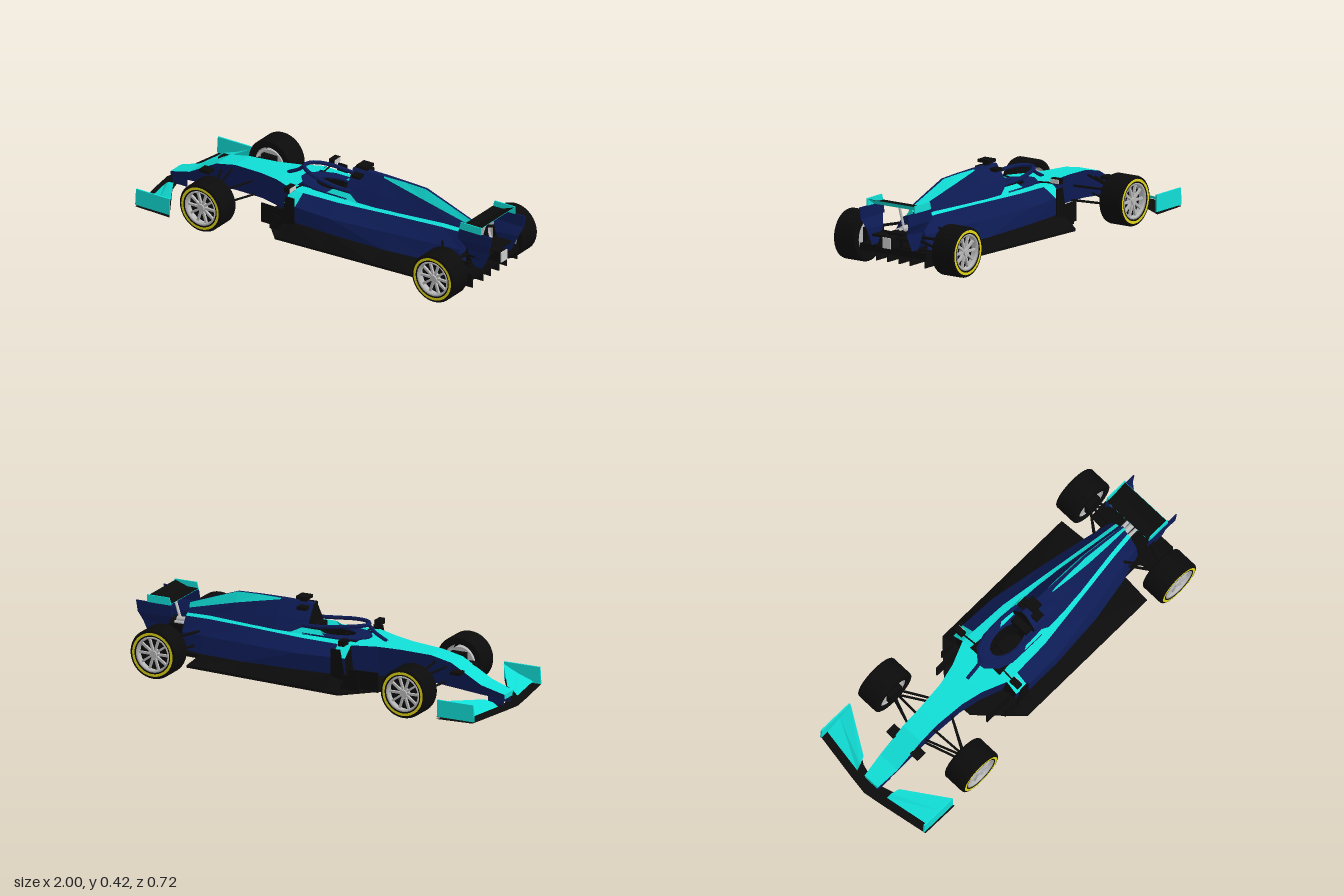
import * as THREE from 'three';

const mat = (color, flat = true) => new THREE.MeshStandardMaterial({ color, flatShading: flat, side: THREE.DoubleSide });
const navy = mat(0x0d1b54), teal = mat(0x10ded6), black = mat(0x0b0b0b), grey = mat(0xcccccc);
const rubber = mat(0x0b0b0b, false), yellow = mat(0xe0d414, false), metal = mat(0xb8b8b8, false);

export function createModel() {
  const car = new THREE.Group();
  const add = (name, geo, m, parent = car) => {
    const mesh = new THREE.Mesh(geo, m);
    mesh.name = name;
    parent.add(mesh);
    return mesh;
  };
  const box = (name, m, x0, x1, y0, y1, z0, z1) =>
    add(name, new THREE.BoxGeometry(x1 - x0, y1 - y0, z1 - z0)
      .translate((x0 + x1) / 2, (y0 + y1) / 2, (z0 + z1) / 2), m);
  // surface stretched between neighbouring rails of equal length
  const skin = (name, m, ...rails) => {
    const p = [];
    for (let i = 0; i + 1 < rails.length; i++)
      for (let j = 0; j + 1 < rails[i].length; j++) {
        const a = rails[i][j], b = rails[i][j + 1], c = rails[i + 1][j + 1], d = rails[i + 1][j];
        p.push(...a, ...b, ...c, ...a, ...c, ...d);
      }
    const g = new THREE.BufferGeometry();
    g.setAttribute('position', new THREE.Float32BufferAttribute(p, 3));
    g.computeVertexNormals();
    return add(name, g, m);
  };
  const flip = rail => rail.map(([x, y, z]) => [x, y, -z]);
  const pair = (name, m, ...rails) => {
    skin(name, m, ...rails);
    skin(name, m, ...rails.map(flip));
  };
  const across = (name, m, rail) => skin(name, m, rail, flip(rail));
  const rail = (xs, ys, zs) => xs.map((x, i) => [x, ys[i], zs[i]]);
  const rod = (name, a, b, r = 0.006, m = black) =>
    add(name, new THREE.TubeGeometry(new THREE.LineCurve3(new THREE.Vector3(...a), new THREE.Vector3(...b)), 1, r, 6), m);
  // flat side plate drawn in x and y
  const plate = (name, m, pts, z, t) =>
    add(name, new THREE.ExtrudeGeometry(new THREE.Shape(pts.map(p => new THREE.Vector2(...p))),
      { depth: t, bevelEnabled: false }).translate(0, 0, z - t / 2), m);

  // nose and front chassis
  const nx = [-0.95, -0.83, -0.67, -0.56, -0.4, -0.29, -0.17];
  const nTop = rail(nx, [0.09, 0.125, 0.215, 0.238, 0.246, 0.252, 0.256], [0.045, 0.058, 0.06, 0.06, 0.074, 0.1, 0.15]);
  const nLow = rail(nx, [0.065, 0.075, 0.09, 0.1, 0.105, 0.1, 0.09], [0.04, 0.05, 0.05, 0.05, 0.06, 0.08, 0.12]);
  across('noseTop', teal, nTop);
  pair('noseSide', navy, nTop, nLow);
  across('noseUnderside', navy, nLow);
  across('noseTip', teal, [nTop[0], nLow[0]]);

  // sidepods: teal upper band, sloping shoulder, side and black floor flare
  const sx = [-0.17, -0.1, 0.1, 0.4, 0.65, 0.78];
  const inner = rail(sx, [0.257, 0.257, 0.257, 0.257, 0.257, 0.25], [0.1, 0.095, 0.1, 0.08, 0.045, 0.03]);
  const band = rail(sx, [0.252, 0.252, 0.252, 0.25, 0.246, 0.24], [0.15, 0.15, 0.142, 0.1, 0.065, 0.05]);
  const shoulder = rail(sx, [0.205, 0.205, 0.195, 0.185, 0.175, 0.17], [0.212, 0.22, 0.215, 0.165, 0.118, 0.09]);
  const side = rail(sx, [0.125, 0.122, 0.115, 0.102, 0.09, 0.09], [0.2, 0.22, 0.218, 0.19, 0.14, 0.1]);
  const flare = rail(sx.slice(0, 5), [0.05, 0.055, 0.06, 0.07, 0.075], [0.287, 0.288, 0.288, 0.288, 0.288]);
  pair('sidepodBand', teal, inner, band);
  pair('sidepodShoulder', navy, band.slice(1), shoulder.slice(1));
  pair('sidepodFront', teal, band.slice(0, 2), shoulder.slice(0, 2));
  pair('sidepodSide', navy, shoulder, side);
  pair('floorFlare', black, side.slice(0, 5), flare);
  pair('sidepodInlet', black, [[-0.168, 0.252, 0.1], [-0.168, 0.252, 0.15]], [[-0.168, 0.205, 0.1], [-0.168, 0.205, 0.212]],
    [[-0.168, 0.07, 0.1], [-0.168, 0.125, 0.2]]);
  across('tailPanel', navy, [inner[5], band[5], shoulder[5], side[5]]);

  // floor plate and diffuser
  const fx = [-0.36, -0.3, -0.17, 0.65, 0.66, 0.76, 0.765, 0.92];
  const fz = [0.085, 0.15, 0.288, 0.288, 0.13, 0.13, 0.2, 0.2];
  const fLow = rail(fx, [0.036, 0.037, 0.04, 0.062, 0.062, 0.064, 0.065, 0.085], fz);
  const fTop = rail(fx, [0.05, 0.05, 0.053, 0.075, 0.078, 0.085, 0.09, 0.12], fz);
  across('floor', black, fLow);
  across('floorTop', black, fTop);
  pair('floorEdge', black, fLow, fTop);
  across('floorLip', black, [fLow[0], fTop[0]]);
  across('diffuserRear', black, [fLow[7], fTop[7]]);
  for (const z of [-0.19, -0.1, -0.035, 0.035, 0.1, 0.19])
    box('diffuserFence', black, 0.78, 0.92, 0.045, 0.12, z - 0.003, z + 0.003);

  // engine cover with teal dorsal panels
  const cx = [0.1, 0.28, 0.4, 0.52, 0.65, 0.78];
  const ridge = rail(cx, [0.39, 0.392, 0.392, 0.388, 0.342, 0.295], [0.015, 0.012, 0.008, 0.007, 0.006, 0.005]);
  const seam = rail(cx, [0.386, 0.386, 0.362, 0.337, 0.304, 0.27], [0.018, 0.016, 0.022, 0.025, 0.02, 0.012]);
  const waist = rail(cx, [0.315, 0.315, 0.305, 0.295, 0.28, 0.26], [0.065, 0.06, 0.052, 0.043, 0.034, 0.02]);
  const base = rail(cx, [0.255, 0.255, 0.255, 0.255, 0.255, 0.25], [0.1, 0.092, 0.08, 0.063, 0.045, 0.03]);
  across('coverRidge', navy, ridge);
  pair('coverNose', navy, ridge.slice(0, 2), seam.slice(0, 2));
  pair('coverDorsalPanel', teal, ridge.slice(1), seam.slice(1));
  pair('coverSide', navy, seam, waist, base);
  across('airIntake', black, [ridge[0], seam[0], waist[0], base[0]]);
  across('coverTail', teal, [ridge[5], seam[5], waist[5], base[5]]);
  box('cameraPost', black, 0.145, 0.18, 0.38, 0.41, -0.01, 0.01);
  box('cameraBar', black, 0.13, 0.19, 0.405, 0.42, -0.033, 0.033);
  box('intakeWinglet', black, 0.12, 0.17, 0.363, 0.378, -0.065, 0.065);

  // cockpit deck with opening
  const deck = new THREE.Shape([[-0.2, 0.02], [-0.15, 0.075], [-0.08, 0.1], [0.12, 0.102], [0.12, -0.102],
    [-0.08, -0.1], [-0.15, -0.075], [-0.2, -0.02]].map(p => new THREE.Vector2(...p)));
  deck.holes.push(new THREE.Path().absellipse(-0.015, 0, 0.105, 0.058, 0, Math.PI * 2));
  add('cockpitDeck', new THREE.ExtrudeGeometry(deck, { depth: 0.008, bevelEnabled: false, curveSegments: 8 })
    .rotateX(Math.PI / 2).translate(0, 0.264, 0), navy);
  add('cockpitTub', new THREE.CylinderGeometry(1, 0.8, 0.12, 20, 1, true).scale(0.105, 1, 0.058).translate(-0.015, 0.198, 0), black);
  box('seat', black, -0.11, 0.08, 0.13, 0.145, -0.055, 0.055);
  box('headrest', black, 0.06, 0.12, 0.24, 0.295, -0.05, 0.05);
  add('steeringWheel', new THREE.TorusGeometry(0.022, 0.005, 6, 14).rotateY(Math.PI / 2).translate(-0.07, 0.24, 0), black);
  pair('cockpitSide', teal, [[0, 0.262, 0.1], [0.19, 0.257, 0.105]], [[0.03, 0.285, 0.085], [0.13, 0.285, 0.085]],
    [[0, 0.262, 0.065], [0.19, 0.262, 0.065]]);

  // halo
  const curve = pts => new THREE.CatmullRomCurve3(pts.map(p => new THREE.Vector3(...p)));
  const hoop = [[0.13, 0.295, 0.078], [0.03, 0.302, 0.085], [-0.08, 0.315, 0.075], [-0.16, 0.322, 0.045]];
  add('haloHoop', new THREE.TubeGeometry(curve([...hoop, [-0.19, 0.322, 0], ...flip(hoop).reverse()]), 32, 0.01, 8), navy);
  add('haloPillar', new THREE.TubeGeometry(curve([[-0.19, 0.322, 0], [-0.22, 0.29, 0], [-0.29, 0.252, 0]]), 8, 0.009, 8), navy);

  // front wing, floor-level plane swept back from the centre
  const wLead = [[-1, 0.03, 0], [-0.985, 0.03, 0.1], [-0.94, 0.03, 0.357]];
  const wTrail = [[-0.93, 0.035, 0], [-0.9, 0.035, 0.1], [-0.74, 0.035, 0.357]];
  pair('frontWingPlane', black, wLead, wTrail);
  pair('frontWingPlaneUnder', black, wLead, wTrail.map(([x, y, z]) => [x, y - 0.01, z]));
  pair('frontWingFlap', teal, [[-0.945, 0.045, 0.1], [-0.905, 0.045, 0.34]],
    [[-0.92, 0.065, 0.105], [-0.82, 0.075, 0.34]], [[-0.88, 0.078, 0.12], [-0.745, 0.11, 0.34]]);

  // parts repeated on each side
  for (const s of [1, -1]) {
    const span = (name, m, x0, x1, y0, y1, z0, z1) =>
      box(name, m, x0, x1, y0, y1, Math.min(s * z0, s * z1), Math.max(s * z0, s * z1));
    plate('frontWingEndplate', teal, [[-0.945, 0.035], [-0.745, 0.035], [-0.745, 0.12], [-0.94, 0.12]], s * 0.347, 0.008);
    span('frontWingPylon', navy, -0.94, -0.86, 0.03, 0.085, 0.03, 0.04);
    span('noseCamera', black, -0.74, -0.685, 0.17, 0.185, 0.055, 0.105);
    // mirrors
    span('mirrorHousing', black, -0.165, -0.135, 0.265, 0.292, 0.163, 0.216);
    span('mirrorGlass', grey, -0.135, -0.132, 0.268, 0.289, 0.166, 0.213);
    rod('mirrorStalk', [-0.14, 0.262, s * 0.09], [-0.15, 0.268, s * 0.2], 0.004);
    // bargeboards
    plate('bargeboard', black, [[-0.33, 0.045], [-0.17, 0.045], [-0.17, 0.14], [-0.33, 0.145]], s * 0.17, 0.008);
    plate('bargeVane', black, [[-0.25, 0.05], [-0.17, 0.05], [-0.17, 0.12], [-0.25, 0.13]], s * 0.215, 0.006);
    plate('turningVane', black, [[-0.17, 0.05], [-0.1, 0.05], [-0.1, 0.25], [-0.15, 0.25], [-0.17, 0.15]], s * 0.224, 0.006);
    // rear wing endplates
    plate('rearEndplateTop', teal, [[0.81, 0.312], [0.94, 0.312], [0.94, 0.35], [0.82, 0.35]], s * 0.143, 0.006);
    plate('rearEndplate', navy, [[0.81, 0.312], [0.8, 0.255], [0.99, 0.255], [1, 0.315]], s * 0.143, 0.006);
    pair('rearEndplateFoot', navy, [[0.81, 0.256, 0.143], [0.99, 0.256, 0.143]],
      [[0.84, 0.2, 0.12], [0.975, 0.21, 0.12]], [[0.88, 0.12, 0.12], [0.93, 0.12, 0.12]]);
    // suspension arms, front then rear
    for (const [x, y, z] of [[-0.64, 0.19, 0.06], [-0.46, 0.18, 0.06], [-0.63, 0.11, 0.05], [-0.45, 0.11, 0.055], [-0.58, 0.21, 0.06]])
      rod('frontArm', [x, y, s * z], [-0.56, y > 0.15 ? 0.16 : 0.09, s * 0.25]);
    for (const [x, y, z] of [[0.68, 0.19, 0.1], [0.87, 0.18, 0.04], [0.69, 0.12, 0.1], [0.88, 0.12, 0.04], [0.78, 0.14, 0.05]])
      rod('rearArm', [x, y, s * z], [0.8, y > 0.15 ? 0.165 : 0.1, s * 0.25], 0.007);
    for (const x of [-0.56, 0.8]) span('brakeDuct', black, x - 0.04, x + 0.04, 0.075, 0.175, 0.215, 0.25);
    for (const x of [-0.56, 0.8]) wheel(x, s);
  }

  // rear wing: dark upper skin over teal underside, central pylon
  skin('rearWingTop', black, [[0.81, 0.32, -0.14], [0.81, 0.32, 0.14]], [[0.87, 0.322, -0.14], [0.87, 0.322, 0.14]],
    [[0.935, 0.346, -0.14], [0.935, 0.346, 0.14]]);
  skin('rearWingUnderside', teal, [[0.81, 0.318, -0.14], [0.81, 0.318, 0.14]], [[0.88, 0.312, -0.14], [0.88, 0.312, 0.14]],
    [[0.937, 0.345, -0.14], [0.937, 0.345, 0.14]]);
  rod('rearWingPylon', [0.83, 0.19, 0], [0.87, 0.318, 0], 0.007, grey);
  box('beamWing', black, 0.85, 0.93, 0.165, 0.175, -0.12, 0.12);

  // gearbox, crash structure, exhausts
  box('gearbox', black, 0.77, 0.9, 0.09, 0.19, -0.045, 0.045);
  box('crashStructure', black, 0.9, 0.97, 0.125, 0.18, -0.025, 0.025);
  box('rearLight', grey, 0.97, 0.975, 0.127, 0.18, -0.025, 0.025);
  for (const [z, r] of [[0, 0.015], [0.027, 0.009], [-0.027, 0.009]])
    add('exhaust', new THREE.CylinderGeometry(r, r, 0.08, 16, 1, true).rotateZ(Math.PI / 2).translate(0.81, r > 0.01 ? 0.2 : 0.192, z), metal);

  // wheel: tyre, coloured band, spoked rim, inner drum
  function wheel(x, s) {
    const g = new THREE.Group();
    g.name = x < 0 ? 'frontWheel' : 'rearWheel';
    const lathe = (name, pts, m) => add(name, new THREE.LatheGeometry(pts.map(p => new THREE.Vector2(...p)), 40)
      .rotateX(Math.PI / 2), m, g);
    lathe('tyre', [[0.085, -0.055], [0.09, -0.064], [0.116, -0.064], [0.121, -0.061], [0.124, -0.054],
      [0.124, 0.054], [0.121, 0.061], [0.116, 0.064], [0.09, 0.064], [0.085, 0.055]], rubber);
    add('tyreBand', new THREE.RingGeometry(0.097, 0.11, 40).translate(0, 0, 0.0655), yellow, g);
    lathe('rim', [[0.078, 0.05], [0.08, 0.062], [0.09, 0.064], [0.086, 0.045], [0.083, -0.05], [0.09, -0.06]], metal);
    add('rimBack', new THREE.CircleGeometry(0.085, 32).translate(0, 0, 0.025), black, g);
    for (let i = 0; i < 10; i++)
      add('spoke', new THREE.BoxGeometry(0.064, 0.011, 0.012).translate(0.048, 0, 0.047).rotateZ(i * Math.PI / 5), metal, g);
    add('hub', new THREE.CylinderGeometry(0.018, 0.024, 0.03, 16).rotateX(Math.PI / 2).translate(0, 0, 0.045), metal, g);
    add('innerDrum', new THREE.CylinderGeometry(0.072, 0.072, 0.06, 24).rotateX(Math.PI / 2).translate(0, 0, -0.022), metal, g);
    g.position.set(x, 0.124, s * 0.293);
    if (s < 0) g.rotation.y = Math.PI;
    car.add(g);
  }
  return car;
}
